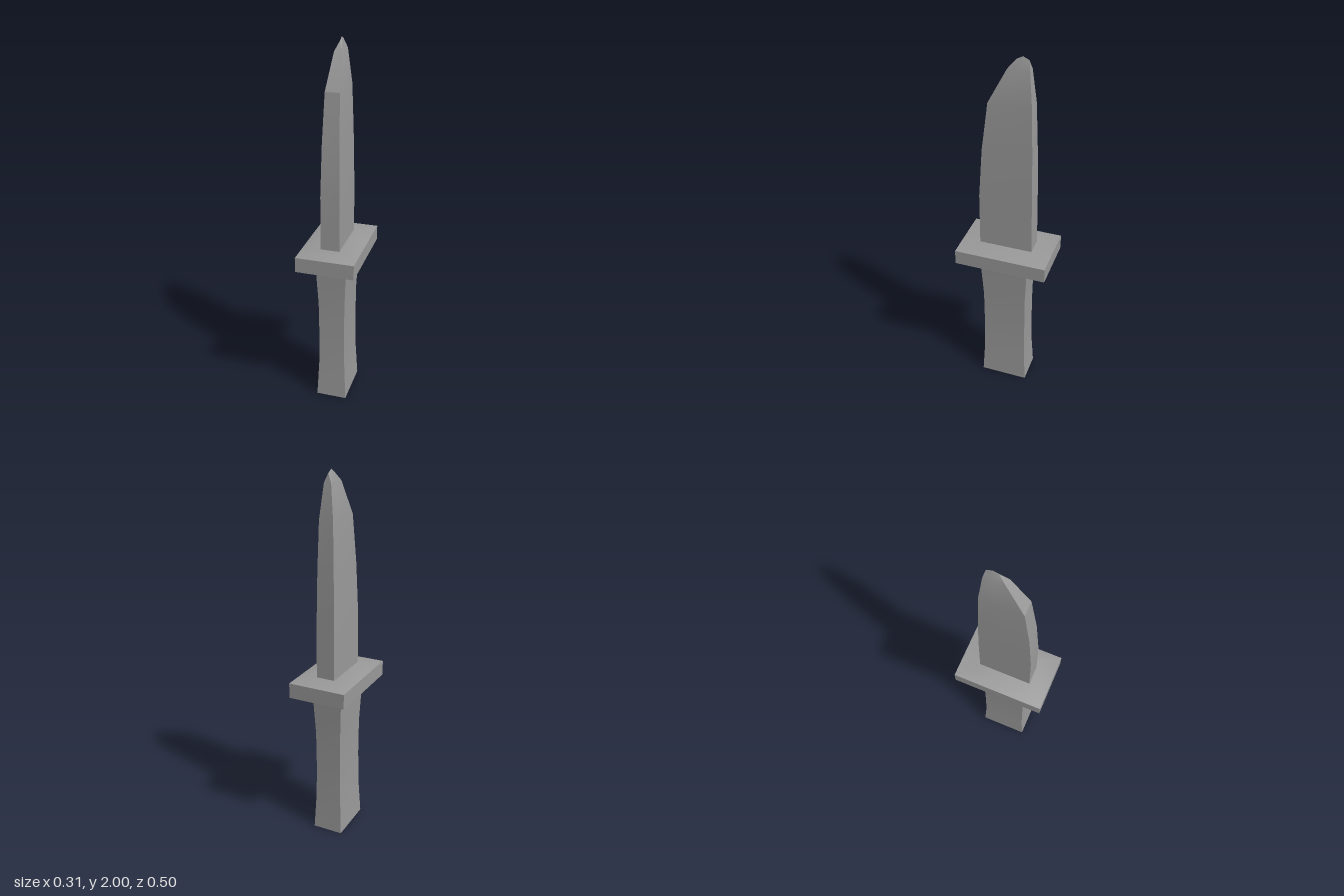
import * as THREE from 'three';
import { toCreasedNormals } from 'three/addons/utils/BufferGeometryUtils.js';

// Lofts rectangular sections [y, halfWidth, frontZ, backZ, lift]; each long side has a
// middle point that lift raises, so that the tip can be rounded.
function loft(sections, crease) {
  const rings = sections.map(([y, w, f, b, lift = 0]) => {
    const m = (f + b) / 2;
    return [[w, y, f], [w, y + lift, m], [w, y, b], [-w, y, b], [-w, y + lift, m], [-w, y, f]]
      .map((p) => new THREE.Vector3(...p));
  });
  const positions = [];
  const tri = (a, b, c) => {
    if (new THREE.Triangle(a, b, c).getArea() < 1e-8) return; // collapsed at the tip
    for (const p of [a, b, c]) positions.push(p.x, p.y, p.z);
  };
  const quad = (a, b, c, d) => { tri(a, b, c); tri(a, c, d); };

  for (let i = 0; i + 1 < rings.length; i++) {
    const lower = rings[i], upper = rings[i + 1];
    for (let j = 0; j < 6; j++) {
      const k = (j + 1) % 6;
      quad(lower[j], lower[k], upper[k], upper[j]);
    }
  }
  // End caps
  const top = rings[rings.length - 1], base = rings[0];
  quad(top[0], top[1], top[4], top[5]);
  quad(top[1], top[2], top[3], top[4]);
  quad(base[5], base[4], base[1], base[0]);
  quad(base[4], base[3], base[2], base[1]);

  const geometry = new THREE.BufferGeometry();
  geometry.setAttribute('position', new THREE.Float32BufferAttribute(positions, 3));
  geometry.computeVertexNormals();
  return toCreasedNormals(geometry, crease);
}

export function createModel() {
  const model = new THREE.Group();
  model.name = 'dagger';
  const grey = new THREE.MeshStandardMaterial({ color: 0x999999 });
  grey.name = 'grey';

  const add = (name, sections, crease) => {
    const mesh = new THREE.Mesh(loft(sections, crease), grey);
    mesh.name = name;
    model.add(mesh);
  };

  // Waisted handle
  add('grip', [
    [0, 0.084, 0.133, -0.131],
    [0.21, 0.074, 0.122, -0.12],
    [0.4, 0.071, 0.121, -0.119],
    [0.6, 0.073, 0.121, -0.119],
    [0.815, 0.083, 0.132, -0.13],
  ], 0.35);

  // Cross guard with bevelled underside and shallow sloped top
  add('guard', [
    [0.812, 0.083, 0.132, -0.13],
    [0.85, 0.157, 0.247, -0.249],
    [0.932, 0.157, 0.247, -0.249],
    [0.946, 0.098, 0.15, -0.15],
  ], 0.7);

  // Blade, its front edge sweeping back to a rounded tip ridge
  add('blade', [
    [0.94, 0.051, 0.143, -0.144],
    [1.24, 0.05, 0.142, -0.141],
    [1.51, 0.045, 0.124, -0.136],
    [1.765, 0.038, 0.092, -0.127],
    [1.94, 0.019, 0, -0.109],
    [1.985, 0, -0.04, -0.099, 0.015],
  ], 0.35);

  return model;
}
